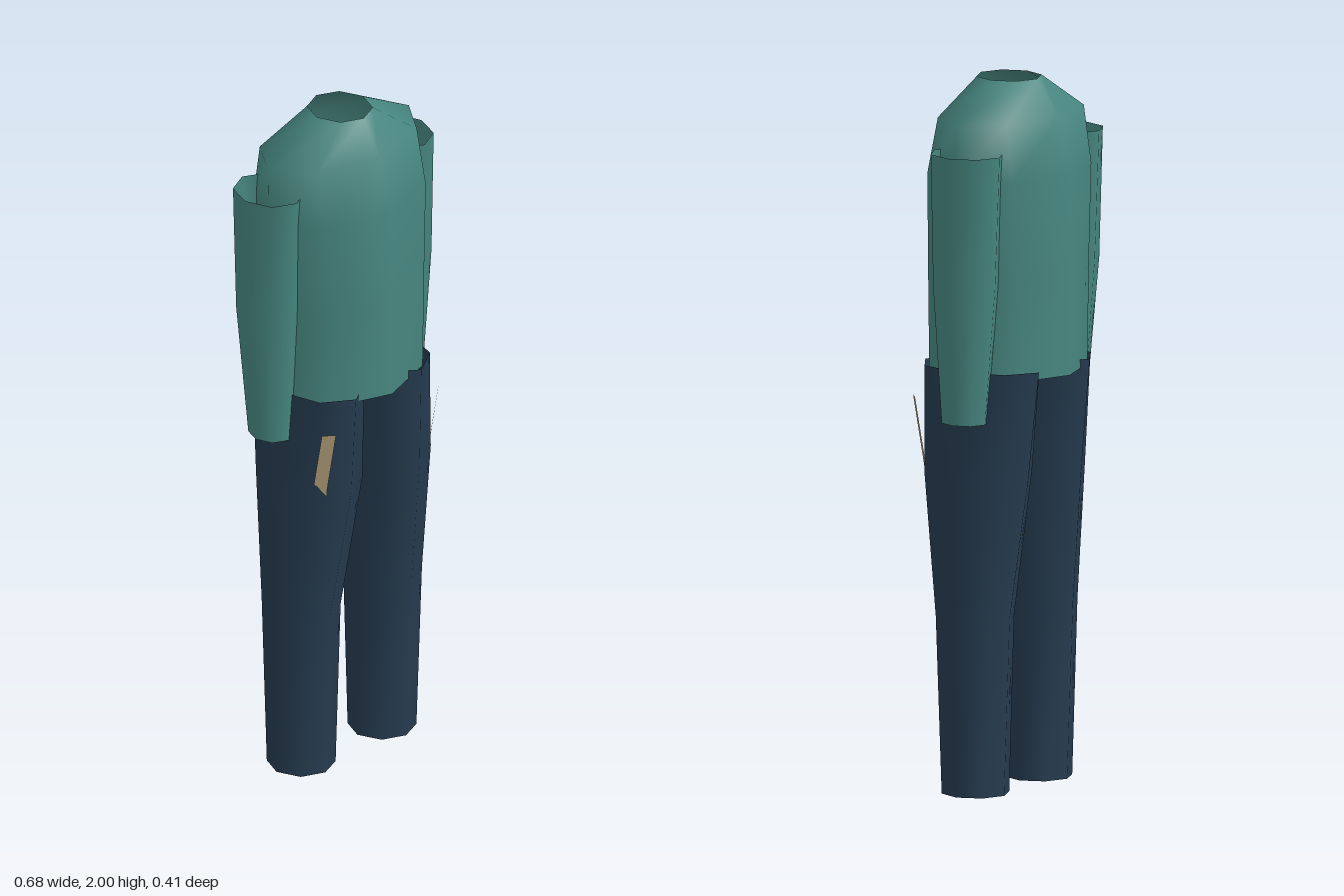
import * as THREE from 'three';

const SIDES = 8;

function makeMaterial(name, color) {
  const m = new THREE.MeshStandardMaterial({ color, side: THREE.DoubleSide });
  m.name = name;
  return m;
}

// Open sleeve of cloth through elliptical rings [y, rx, rz, cx, cz], top to bottom
function clothTube(rings) {
  const pos = [], idx = [];
  for (const [y, rx, rz, cx, cz] of rings) {
    for (let i = 0; i < SIDES; i++) {
      const a = (i / SIDES) * Math.PI * 2;
      pos.push(cx + rx * Math.sin(a), y, cz + rz * Math.cos(a));
    }
  }
  for (let r = 0; r < rings.length - 1; r++) {
    for (let i = 0; i < SIDES; i++) {
      const j = (i + 1) % SIDES;
      const a = r * SIDES + i, b = r * SIDES + j;
      const c = a + SIDES, d = b + SIDES;
      idx.push(a, c, b, b, c, d);
    }
  }
  const g = new THREE.BufferGeometry();
  g.setAttribute('position', new THREE.Float32BufferAttribute(pos, 3));
  g.setIndex(idx);
  g.computeVertexNormals();
  return g;
}

// Slanted pocket trim on the front of the thigh
function pocketPlate(s) {
  const g = new THREE.BufferGeometry();
  g.setAttribute('position', new THREE.Float32BufferAttribute([
    s * 0.197, 1.11, 0.186,
    s * 0.197, 0.905, 0.147,
    s * 0.226, 0.945, 0.128,
    s * 0.226, 1.11, 0.160,
  ], 3));
  g.setIndex(s > 0 ? [0, 1, 2, 0, 2, 3] : [0, 2, 1, 0, 3, 2]);
  g.computeVertexNormals();
  return g;
}

export function createModel() {
  const group = new THREE.Group();
  group.name = 'outfit';
  const shirt = makeMaterial('teal shirt', 0x478680);
  const denim = makeMaterial('navy trousers', 0x263c50);
  const trim = makeMaterial('tan trim', 0xb8a47c);

  const add = (name, geometry, material) => {
    const mesh = new THREE.Mesh(geometry, material);
    mesh.name = name;
    group.add(mesh);
  };

  // Shirt body with an open neck and hem
  add('shirtBody', clothTube([
    [2.0, 0.088, 0.094, 0, -0.002],
    [1.9, 0.272, 0.162, 0, -0.008],
    [1.74, 0.274, 0.203, 0, -0.003],
    [1.45, 0.256, 0.207, 0, 0],
    [1.175, 0.25, 0.206, 0, 0],
  ]), shirt);

  for (const [side, s] of [['left', 1], ['right', -1]]) {
    // Sleeve, open at shoulder and cuff
    add(side + 'Sleeve', clothTube([
      [1.82, 0.093, 0.109, s * 0.247, -0.028],
      [1.45, 0.091, 0.096, s * 0.247, -0.026],
      [1.06, 0.06, 0.068, s * 0.247, -0.02],
    ]), shirt);

    // Trouser leg, open at waist and ankle
    add(side + 'Leg', clothTube([
      [1.2, 0.122, 0.19, s * 0.126, 0.003],
      [0.9, 0.128, 0.168, s * 0.132, 0.012],
      [0.5, 0.103, 0.116, s * 0.157, 0.006],
      [0, 0.095, 0.096, s * 0.156, 0.005],
    ]), denim);

    add(side + 'PocketTrim', pocketPlate(s), trim);
  }
  return group;
}
